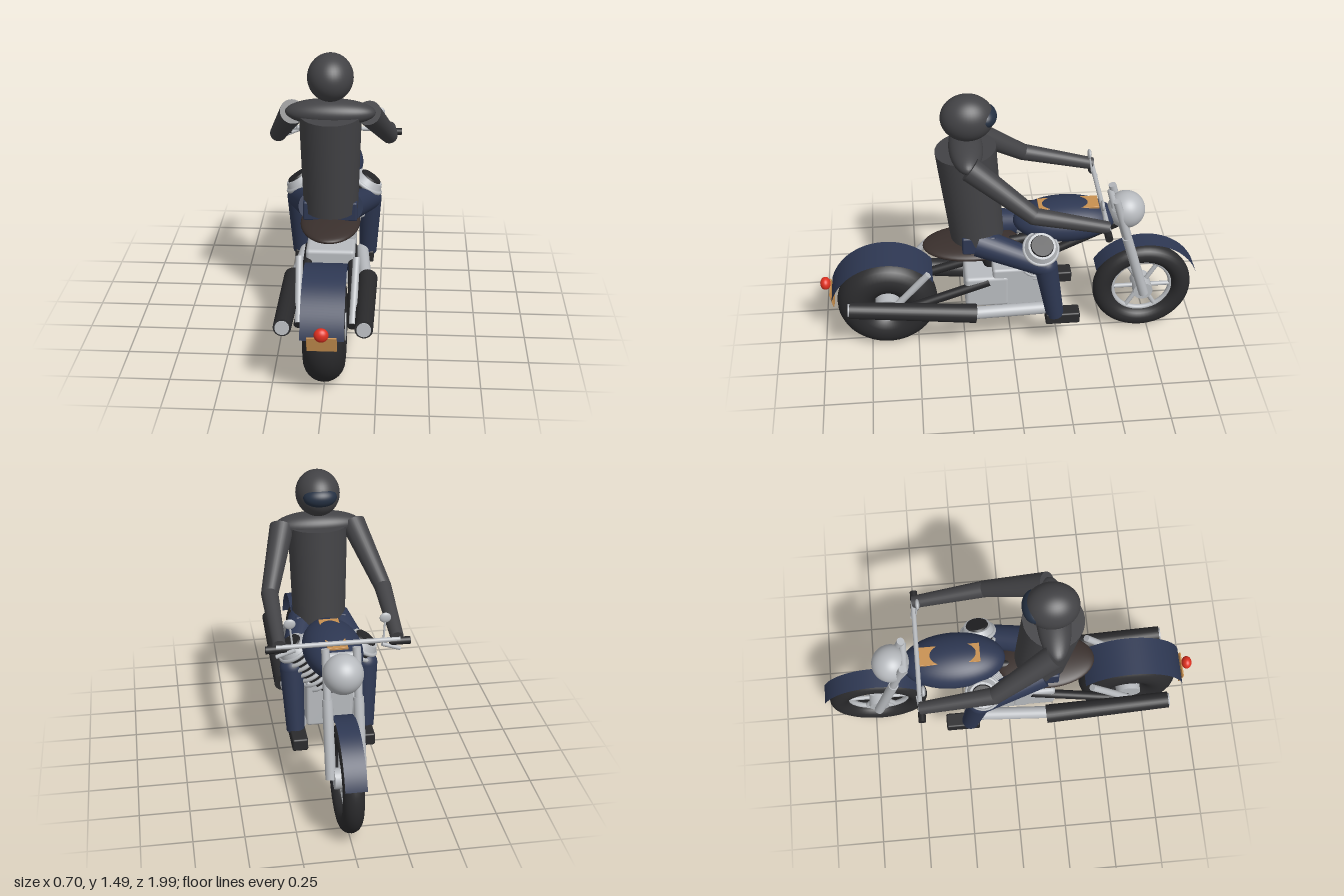
import * as THREE from 'three';
import { RoundedBoxGeometry } from 'three/addons/geometries/RoundedBoxGeometry.js';

const paint = (color, side = THREE.FrontSide) => new THREE.MeshStandardMaterial({ color, side });
const V = (p) => new THREE.Vector3(...p);

export function createModel() {
  const model = new THREE.Group();
  const rubber = paint(0x2b2b2d), black = paint(0x262628), cloth = paint(0x434346), metal = paint(0xb8bbbf);
  const navy = paint(0x2e3853), navyShell = paint(0x2e3853, THREE.DoubleSide);
  const orange = paint(0xc89050), red = paint(0xe03020), leather = paint(0x3a302d), visorBlue = paint(0x253143);

  const add = (name, geometry, material, pos = [0, 0, 0], parent = model) => {
    const mesh = new THREE.Mesh(geometry, material);
    mesh.name = name;
    mesh.position.set(...pos);
    parent.add(mesh);
    return mesh;
  };
  const ellipsoid = (name, mat, pos, size) => {
    const mesh = add(name, new THREE.SphereGeometry(1, 40, 28), mat, pos);
    mesh.scale.set(...size);
    return mesh;
  };
  // Tapered round bar between two points
  const bar = (name, mat, a, b, ra, rb = ra, parent = model) => {
    const dir = V(b).sub(V(a));
    const mesh = add(name, new THREE.CylinderGeometry(rb, ra, dir.length(), 28), mat,
      V(a).add(V(b)).multiplyScalar(0.5).toArray(), parent);
    mesh.quaternion.setFromUnitVectors(new THREE.Vector3(0, 1, 0), dir.normalize());
    return mesh;
  };
  const ring = (name, mat, R, r, pos, parent = model) =>
    add(name, new THREE.TorusGeometry(R, r, 24, 56).rotateY(Math.PI / 2), mat, pos, parent);
  const box = (name, mat, pos, size, r = 0.01) => add(name, new RoundedBoxGeometry(...size, 3, r), mat, pos);
  const fender = (name, z, width, from, to) => {
    const rad = Math.PI / 180;
    add(name, new THREE.CylinderGeometry(0.298, 0.298, width, 48, 1, true, from * rad, (to - from) * rad)
      .rotateZ(Math.PI / 2), navyShell, [0, 0.275, z]);
  };

  // Rear wheel
  const rearZ = 0.655, frontZ = -0.71, axleY = 0.27;
  ring('rearTyre', rubber, 0.165, 0.1, [0, axleY, rearZ]);
  bar('rearHub', metal, [-0.1, axleY, rearZ], [0.1, axleY, rearZ], 0.066);
  fender('rearFender', rearZ, 0.205, 15, 145);

  // Front wheel with spokes
  ring('frontTyre', rubber, 0.213, 0.052, [0, axleY, frontZ]);
  ring('frontRim', metal, 0.16, 0.014, [0, axleY, frontZ]);
  bar('frontHub', metal, [-0.06, axleY, frontZ], [0.06, axleY, frontZ], 0.052);
  for (let i = 0; i < 6; i++) {
    const a = i * Math.PI / 3;
    bar('spoke', metal, [0, axleY, frontZ],
      [0, axleY + 0.162 * Math.sin(a), frontZ + 0.162 * Math.cos(a)], 0.012);
  }
  fender('frontFender', frontZ, 0.105, 30, 160);

  // Tail light and plate
  ellipsoid('tailLight', red, [0, 0.4, 0.973], [0.034, 0.034, 0.027]);
  box('plate', orange, [0, 0.335, 0.943], [0.14, 0.078, 0.008], 0.002).rotation.x = 0.2;

  // Engine block and gearbox
  box('engineBlock', metal, [0, 0.385, -0.05], [0.24, 0.26, 0.3], 0.015);
  box('gearbox', metal, [0, 0.375, 0.13], [0.25, 0.19, 0.23], 0.02);

  // Tank, seat, headlight
  ellipsoid('tank', navy, [0, 0.745, -0.28], [0.148, 0.106, 0.266]);
  box('tankStripe', orange, [0, 0.834, -0.297], [0.1, 0.012, 0.31], 0.002);
  ellipsoid('seat', leather, [0, 0.615, 0.2], [0.15, 0.038, 0.255]);
  ellipsoid('headlight', metal, [0, 0.78, -0.6], [0.098, 0.098, 0.098]);

  // Frame tubes
  bar('downTube', black, [0, 0.7, -0.57], [0, 0.5, -0.15], 0.022);
  bar('backbone', black, [0, 0.7, -0.55], [0, 0.6, 0.1], 0.025);
  bar('seatPost', black, [0, 0.45, 0.1], [0, 0.62, 0.16], 0.03);

  // Handlebar and fork bridge
  bar('handlebar', metal, [-0.3, 0.87, -0.46], [0.3, 0.87, -0.46], 0.012);
  bar('forkBridge', metal, [-0.08, 0.84, -0.53], [0.08, 0.84, -0.53], 0.018);

  // Rider body
  bar('torso', cloth, [0, 0.685, 0.172], [0, 1.2, 0.222], 0.137, 0.153);
  ellipsoid('shoulders', cloth, [0, 1.205, 0.22], [0.22, 0.065, 0.085]);
  ellipsoid('head', cloth, [0, 1.378, 0.21], [0.112, 0.117, 0.132]);
  ellipsoid('visor', visorBlue, [0, 1.385, 0.125], [0.085, 0.052, 0.06]);
  box('pelvis', navy, [0, 0.69, 0.17], [0.27, 0.1, 0.17], 0.01);

  // Parts mirrored on both sides
  for (const s of [-1, 1]) {
    const side = s > 0 ? 'left' : 'right';
    const P = (x, y, z) => [s * x, y, z];

    // Fork leg, swing arm and shock absorber
    bar(side + 'Fork', metal, P(0.075, 0.27, -0.71), P(0.075, 0.65, -0.6), 0.026);
    bar(side + 'ForkTop', metal, P(0.075, 0.63, -0.607), P(0.075, 0.885, -0.535), 0.02);
    bar(side + 'SwingArm', black, P(0.13, 0.27, 0.65), P(0.11, 0.44, 0.12), 0.024);
    bar(side + 'Shock', metal, P(0.14, 0.53, 0.435), P(0.13, 0.28, 0.65), 0.018);

    // Exhaust
    bar(side + 'Muffler', rubber, P(0.19, 0.365, 0.85), P(0.19, 0.295, 0.195), 0.043, 0.05);
    bar(side + 'MufflerTip', metal, P(0.19, 0.366, 0.858), P(0.19, 0.362, 0.82), 0.034);
    bar(side + 'HeaderPipe', metal, P(0.18, 0.29, 0.22), P(0.15, 0.275, -0.19), 0.033);

    // Finned cylinder leaning outwards
    const cylinder = new THREE.Group();
    cylinder.name = side + 'Cylinder';
    cylinder.position.set(s * 0.03, 0.48, -0.125);
    cylinder.rotation.set(-0.08, 0, -s * 0.6);
    model.add(cylinder);
    bar('cylinderCore', black, [0, -0.04, 0], [0, 0.27, 0], 0.078, 0.078, cylinder);
    for (let i = 0; i < 7; i++) {
      add('coolingFin', new THREE.TorusGeometry(0.085, 0.011, 10, 40).rotateX(Math.PI / 2), metal,
        [0, 0.02 + i * 0.038, 0], cylinder);
    }
    add('cylinderHead', new THREE.CylinderGeometry(0.07, 0.088, 0.035, 32), metal, [0, 0.27, 0], cylinder);
    add('headCap', new THREE.CylinderGeometry(0.055, 0.06, 0.012, 32), black, [0, 0.29, 0], cylinder);

    // Grip, lever and mirror
    bar(side + 'Grip', black, P(0.25, 0.858, -0.455), P(0.35, 0.858, -0.455), 0.019);
    bar(side + 'Lever', metal, P(0.21, 0.855, -0.47), P(0.3, 0.82, -0.46), 0.01);
    bar(side + 'MirrorStem', metal, P(0.22, 0.87, -0.45), P(0.23, 0.97, -0.435), 0.005);
    ellipsoid(side + 'Mirror', metal, P(0.23, 0.977, -0.435), [0.028, 0.026, 0.011]);

    // Arm
    const elbow = P(0.285, 0.975, -0.09);
    bar(side + 'UpperArm', cloth, P(0.185, 1.2, 0.21), elbow, 0.062, 0.043);
    ellipsoid(side + 'Elbow', cloth, elbow, [0.043, 0.043, 0.043]);
    bar(side + 'Forearm', cloth, elbow, P(0.285, 0.88, -0.46), 0.043, 0.032);

    // Leg and boot
    const knee = P(0.19, 0.59, -0.165);
    bar(side + 'Thigh', navy, P(0.09, 0.685, 0.17), knee, 0.075, 0.06);
    ellipsoid(side + 'Knee', navy, knee, [0.06, 0.06, 0.06]);
    bar(side + 'Shin', navy, knee, P(0.18, 0.255, -0.22), 0.06, 0.046);
    box(side + 'Boot', rubber, P(0.172, 0.238, -0.26), [0.08, 0.066, 0.18], 0.01);
  }
  return model;
}
